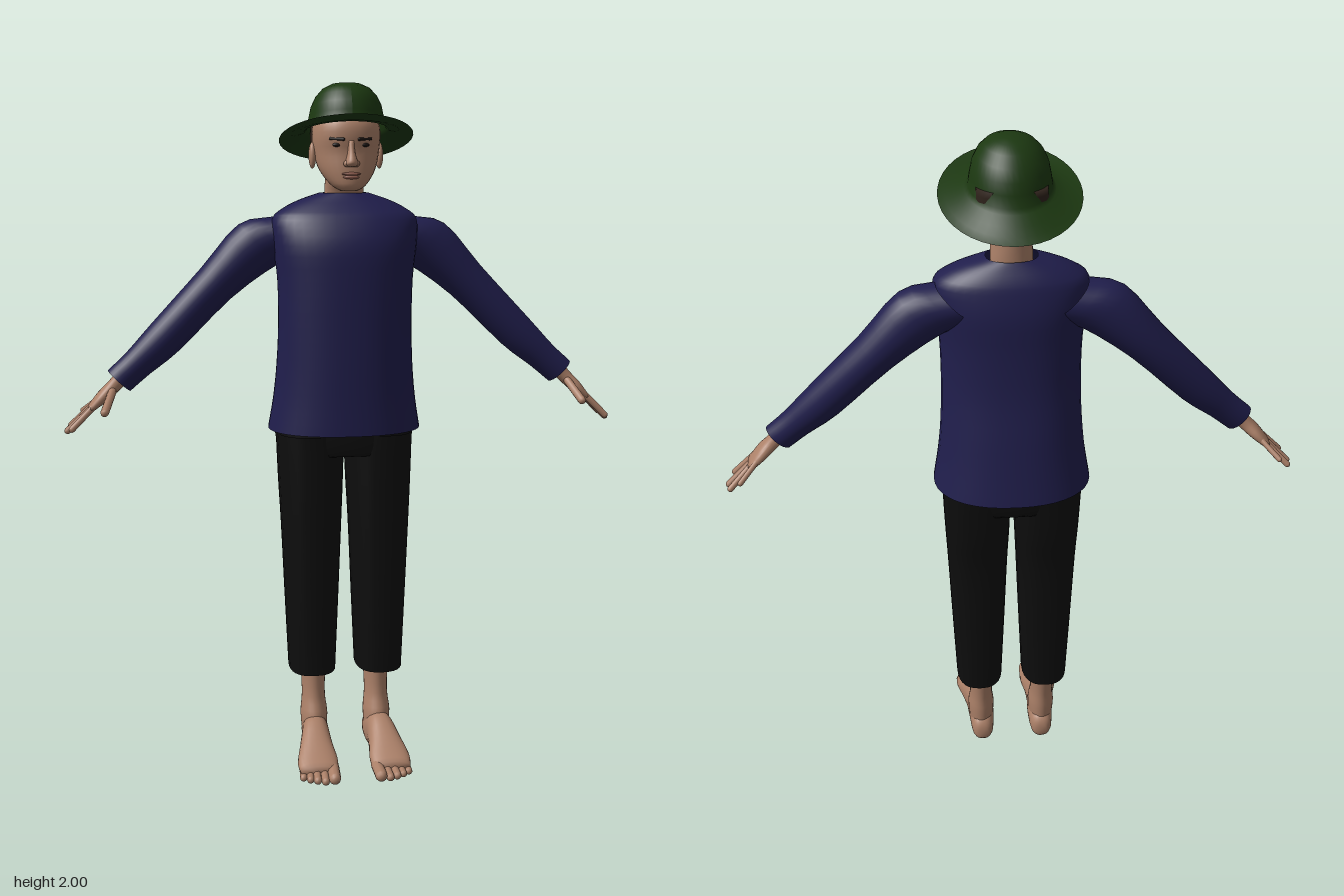
import * as THREE from 'three';

const mat = (color, open) =>
  new THREE.MeshStandardMaterial({ color, side: open ? THREE.DoubleSide : THREE.FrontSide });
const V = (x, y, z) => new THREE.Vector3(x, y, z);
const X = V(1, 0, 0), Y = V(0, 1, 0), Z = V(0, 0, 1);

// Smooth skin over cross-sections [x, y, z, ru, rv], advancing along u x v
function loft(rows, u, v, { p = 2, caps = true, n = 28, steps = 3 } = {}) {
  const mid = new THREE.CatmullRomCurve3(rows.map(r => V(r[0], r[1], r[2])), false, 'catmullrom');
  const rad = new THREE.CatmullRomCurve3(rows.map(r => V(r[3], r[4], 0)), false, 'catmullrom');
  const m = (rows.length - 1) * steps, pos = [], idx = [];
  const sq = t => Math.sign(t) * Math.abs(t) ** (2 / p);
  for (let i = 0; i <= m; i++) {
    const c = mid.getPoint(i / m), r = rad.getPoint(i / m);
    for (let j = 0; j < n; j++) {
      const a = j / n * Math.PI * 2;
      const q = c.clone().addScaledVector(u, r.x * sq(Math.cos(a))).addScaledVector(v, r.y * sq(Math.sin(a)));
      pos.push(q.x, q.y, q.z);
      if (i < m) {
        const k = (j + 1) % n, A = i * n + j, B = i * n + k;
        idx.push(A, B, B + n, A, B + n, A + n);
      }
    }
  }
  if (caps) {
    const a = pos.length / 3, first = rows[0], last = rows[rows.length - 1];
    pos.push(...first.slice(0, 3), ...last.slice(0, 3));
    for (let j = 0; j < n; j++) {
      const k = (j + 1) % n;
      idx.push(a, k, j, a + 1, m * n + j, m * n + k);
    }
  }
  const g = new THREE.BufferGeometry();
  g.setAttribute('position', new THREE.Float32BufferAttribute(pos, 3));
  g.setIndex(idx);
  g.computeVertexNormals();
  return g;
}

// Upright form from rows [y, front z, back z, half width], listed upward
const tower = (rows, opt = {}, x = 0) =>
  loft(rows.map(([y, f, b, w]) => [x, y, (f + b) / 2, (f - b) / 2, w]), Z, X, opt);

// Rounded digit between two points
function digit(a, b, r) {
  const d = b.clone().sub(a);
  const g = new THREE.CapsuleGeometry(r, Math.max(d.length() - r, 0.001), 4, 10);
  g.applyQuaternion(new THREE.Quaternion().setFromUnitVectors(Y, d.clone().normalize()));
  const c = a.clone().add(b).multiplyScalar(0.5);
  return g.translate(c.x, c.y, c.z);
}

const blob = (x, y, z, rx, ry, rz) =>
  new THREE.SphereGeometry(1, 16, 12).scale(rx, ry, rz).translate(x, y, z);

function mirrored(g) {
  const h = g.clone().scale(-1, 1, 1), a = h.index.array;
  for (let i = 0; i < a.length; i += 3) [a[i], a[i + 1]] = [a[i + 1], a[i]];
  return h;
}

export function createModel() {
  const model = new THREE.Group();
  const skin = mat(0xab8068), shirt = mat(0x201e4c, true), cloth = mat(0x0d0d0d, true);
  const hatGreen = mat(0x1c3811, true), hairBrown = mat(0x2e221b), dark = mat(0x1a1310), lip = mat(0x8a5a4c);
  const add = (name, g, m) => {
    const mesh = new THREE.Mesh(g, m);
    mesh.name = name;
    model.add(mesh);
  };
  const pair = (name, g, m) => {
    add(name + 'Left', g, m);
    add(name + 'Right', mirrored(g), m);
  };

  // Shirt
  add('shirtBody', tower([
    [1.01, 0.11, -0.245, 0.225], [1.1, 0.107, -0.228, 0.21], [1.2, 0.105, -0.21, 0.2],
    [1.32, 0.102, -0.188, 0.195], [1.45, 0.098, -0.178, 0.197], [1.55, 0.09, -0.175, 0.208],
    [1.62, 0.06, -0.16, 0.21], [1.65, 0.035, -0.148, 0.18], [1.675, 0.008, -0.132, 0.13],
    [1.695, -0.012, -0.118, 0.07]], { p: 2.25, caps: false, n: 40 }), shirt);
  pair('sleeve', loft([
    [0.15, 1.575, -0.085, 0.075, 0.068], [0.245, 1.548, -0.09, 0.082, 0.07],
    [0.37, 1.437, -0.09, 0.062, 0.066], [0.52, 1.285, -0.073, 0.056, 0.056],
    [0.6, 1.212, -0.063, 0.046, 0.045], [0.656, 1.163, -0.057, 0.044, 0.04]],
    V(0.72, 0.69, 0), Z, { caps: false }), shirt);

  // Trousers
  add('trouserHips', tower([[0.94, 0.055, -0.19, 0.185], [0.97, 0.06, -0.198, 0.2], [1.02, 0.06, -0.2, 0.205],
    [1.12, 0.05, -0.18, 0.18]], { p: 2.5 }), cloth);
  pair('trouserLeg', tower([
    [0.27, 0.05, -0.155, 0.07], [0.5, 0.053, -0.16, 0.08], [0.72, 0.056, -0.166, 0.089],
    [0.85, 0.058, -0.186, 0.095], [1.0, 0.06, -0.2, 0.1]], { p: 2.5, caps: false }, 0.102), cloth);

  // Lower legs and feet
  pair('shin', tower([[0.05, 0.02, -0.098, 0.036], [0.12, 0.018, -0.103, 0.041], [0.18, -0.004, -0.104, 0.035],
    [0.28, -0.01, -0.115, 0.039], [0.4, 0.0, -0.125, 0.048]], {}, 0.097), skin);
  pair('foot', loft([
    [0.095, 0.04, -0.114, 0.016, 0.02], [0.095, 0.047, -0.095, 0.033, 0.043], [0.096, 0.06, -0.03, 0.04, 0.057],
    [0.1, 0.066, 0.02, 0.042, 0.06], [0.105, 0.052, 0.08, 0.05, 0.046], [0.108, 0.035, 0.14, 0.06, 0.03],
    [0.109, 0.025, 0.185, 0.054, 0.017]], X, Y, { p: 2.3 }), skin);
  [[0.065, 0.24, 0.018], [0.092, 0.236, 0.012], [0.114, 0.227, 0.012], [0.134, 0.215, 0.011], [0.153, 0.2, 0.011]]
    .forEach(([x, z, r], i) => pair('toe' + (i + 1), digit(V(x, r + 0.008, 0.15), V(x + 0.004, r, z - r / 2), r), skin));

  // Hands
  pair('palm', loft([
    [0.63, 1.192, -0.055, 0.024, 0.026], [0.672, 1.148, -0.055, 0.02, 0.026],
    [0.705, 1.117, -0.058, 0.018, 0.041], [0.74, 1.083, -0.063, 0.011, 0.042]],
    V(0.72, 0.69, 0), Z, { p: 2.3 }), skin);
  [['thumb', [0.675, 1.138, -0.035], [0.699, 1.085, 0.052], 0.012],
    ['indexFinger', [0.725, 1.098, -0.032], [0.797, 1.026, -0.022], 0.0095],
    ['middleFinger', [0.728, 1.094, -0.054], [0.812, 1.014, -0.068], 0.0095],
    ['ringFinger', [0.728, 1.096, -0.075], [0.803, 1.024, -0.11], 0.009],
    ['littleFinger', [0.718, 1.106, -0.092], [0.768, 1.062, -0.142], 0.008]]
    .forEach(([name, a, b, r]) => pair(name, digit(V(...a), V(...b), r), skin));

  // Neck and head
  add('neck', tower([[1.62, -0.02, -0.11, 0.06], [1.69, -0.015, -0.112, 0.057], [1.74, 0.015, -0.112, 0.056],
    [1.8, 0.02, -0.11, 0.056]]), skin);
  add('head', tower([
    [1.702, 0.07, 0.0, 0.024], [1.715, 0.082, -0.025, 0.046], [1.74, 0.084, -0.06, 0.067], [1.77, 0.083, -0.095, 0.083],
    [1.81, 0.08, -0.113, 0.092], [1.85, 0.086, -0.122, 0.096], [1.89, 0.08, -0.124, 0.092],
    [1.93, 0.045, -0.1, 0.065], [1.95, 0.0, -0.05, 0.015]], { p: 2.2 }), skin);
  add('hair', tower([[1.775, -0.035, -0.112, 0.066], [1.8, -0.03, -0.122, 0.086], [1.84, -0.025, -0.13, 0.095],
    [1.89, -0.025, -0.132, 0.093]], { p: 2.3 }), hairBrown);
  pair('ear', blob(0.096, 1.8, -0.022, 0.011, 0.037, 0.02).rotateY(0), skin);

  // Face
  add('nose', tower([[1.768, 0.094, 0.06, 0.014], [1.775, 0.11, 0.06, 0.019], [1.786, 0.111, 0.06, 0.016],
    [1.81, 0.099, 0.06, 0.01], [1.84, 0.088, 0.06, 0.009]], { n: 16 }), skin);
  pair('nostrilWing', blob(0.014, 1.777, 0.087, 0.009, 0.009, 0.011), skin);
  add('upperLip', blob(0, 1.749, 0.081, 0.027, 0.005, 0.01), lip);
  add('lowerLip', blob(0, 1.74, 0.08, 0.023, 0.006, 0.01), lip);
  pair('eye', blob(0.038, 1.828, 0.072, 0.014, 0.006, 0.007), dark);
  pair('eyebrow', digit(V(0.02, 1.843, 0.084), V(0.058, 1.845, 0.066), 0.0045), dark);

  // Hat: a turned shape, lengthened front to back, brim raised in front and lowered behind
  const profile = [[0.19, 1.847], [0.17, 1.85], [0.145, 1.857], [0.12, 1.866], [0.111, 1.875], [0.106, 1.905],
    [0.1, 1.933], [0.087, 1.96], [0.067, 1.982], [0.042, 1.995], [0.018, 1.999], [0, 2]];
  const hat = new THREE.LatheGeometry(profile.map(p => new THREE.Vector2(...p)), 40);
  const q = hat.attributes.position;
  for (let i = 0; i < q.count; i++) {
    const x = q.getX(i), z = q.getZ(i), r = Math.hypot(x, z);
    q.setY(i, q.getY(i) + 0.0625 * z * r / 0.19 ** 2);
    q.setZ(i, z * (r > 0.15 ? 1.06 : 1.14) - 0.02);
  }
  hat.computeVertexNormals();
  add('hat', hat, hatGreen);

  return model;
}
